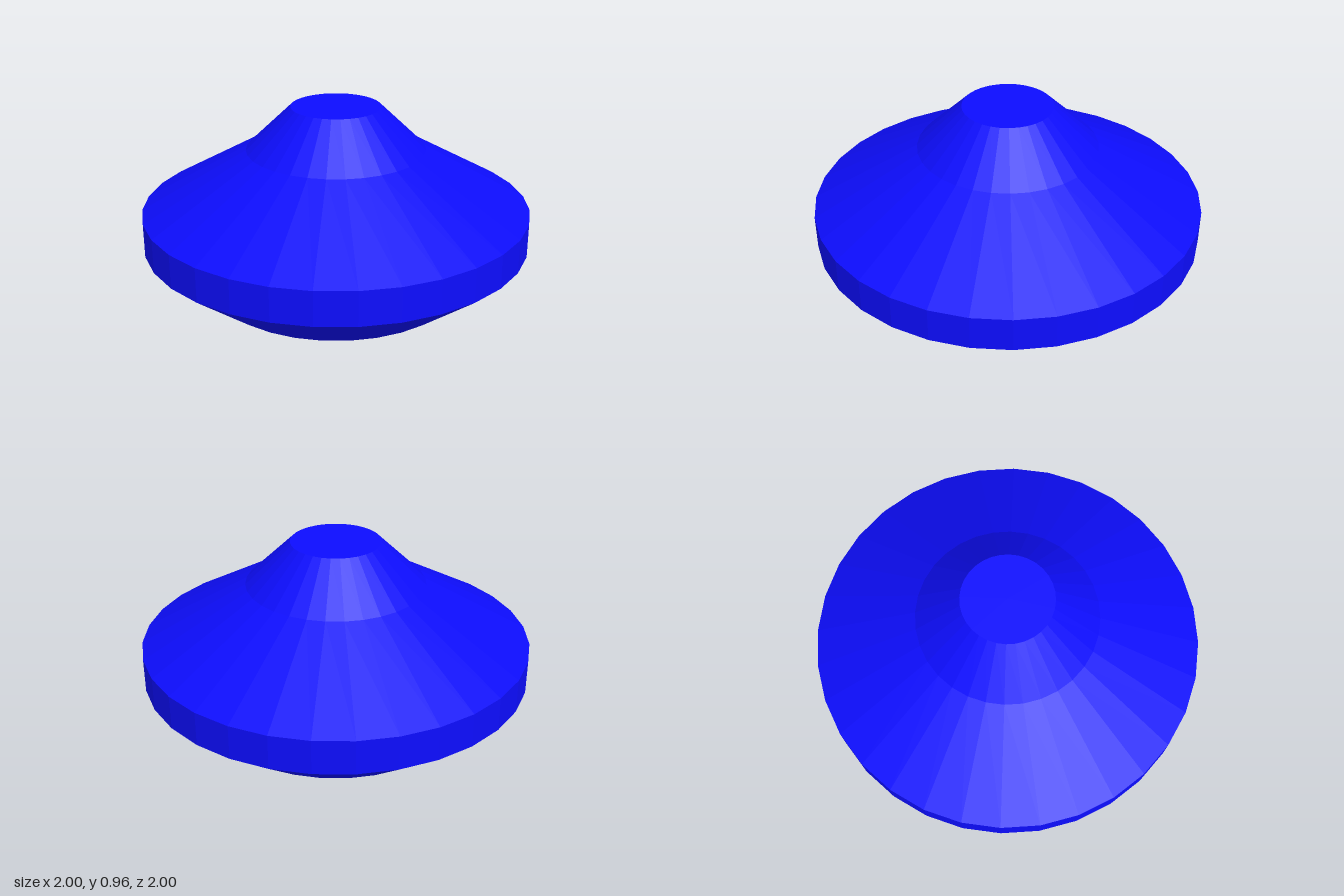
import * as THREE from 'three';

const SIDES = 32;

export function createModel() {
  const group = new THREE.Group();
  const material = new THREE.MeshStandardMaterial({ color: 0x0d0dff, flatShading: true });

  // Each part is a faceted ring turned from a bottom-to-top [radius, height] profile
  const addPart = (name, profile) => {
    const points = profile.map(([r, y]) => new THREE.Vector2(r, y));
    const mesh = new THREE.Mesh(new THREE.LatheGeometry(points, SIDES), material);
    mesh.name = name;
    group.add(mesh);
  };

  // Closed underside flaring out to the rim
  addPart('base', [[0, 0], [0.67, 0], [1, 0.26]]);
  // Upright band at the widest point
  addPart('rim', [[1, 0.26], [1, 0.435]]);
  // Shallow upper slope
  addPart('shoulder', [[1, 0.435], [0.46, 0.742]]);
  // Steeper top with a flat cap
  addPart('neck', [[0.46, 0.742], [0.23, 0.963], [0, 0.963]]);

  return group;
}
